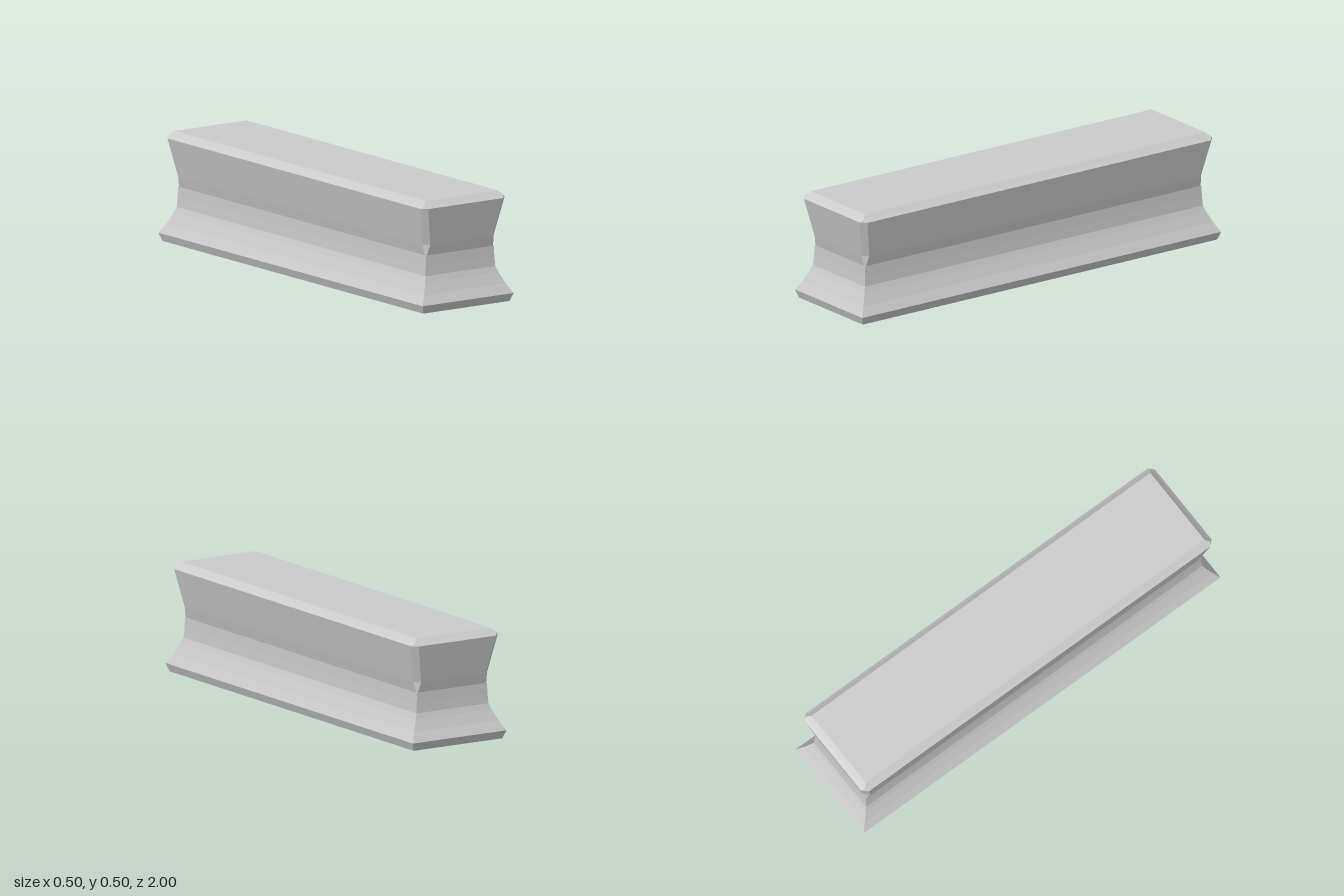
import * as THREE from 'three';

// Half length exceeds half width by this much at every height
const EXTRA = 0.75;

// Profile rows: height, half width, corner chamfer
const PROFILE = [
  [0, 0.237, 0], [0.037, 0.25, 0],                      // foot
  [0.08, 0.225, 0], [0.13, 0.202, 0], [0.157, 0.192, 0], // flared base
  [0.2, 0.189, 0], [0.249, 0.187, 0],                   // waist
  [0.25, 0.187, 0.006], [0.297, 0.198, 0.026],          // chamfered upper body
  [0.471, 0.232, 0.025], [0.483, 0.218, 0], [0.502, 0.199, 0], // bevelled top
];

// Rectangular ring with chamfered corners, going from +x towards +z
function ring([y, w, c]) {
  const d = w + EXTRA;
  return [
    [w, -d + c], [w, d - c], [w - c, d], [-w + c, d],
    [-w, d - c], [-w, -d + c], [-w + c, -d], [w - c, -d],
  ].map(([x, z]) => new THREE.Vector3(x, y, z));
}

function loft(rings) {
  const pos = [];
  const tri = (a, b, c) => {
    // skip collapsed corner facets
    if (a.equals(b) || b.equals(c) || c.equals(a)) return;
    for (const p of [a, b, c]) pos.push(p.x, p.y, p.z);
  };
  const top = rings.length - 1;
  const n = rings[0].length;
  const bottomCentre = new THREE.Vector3(0, rings[0][0].y, 0);
  const topCentre = new THREE.Vector3(0, rings[top][0].y, 0);
  for (let j = 0; j < n; j++) {
    const k = (j + 1) % n;
    for (let i = 0; i < top; i++) {
      const lo = rings[i], hi = rings[i + 1];
      tri(lo[j], hi[j], lo[k]);
      tri(hi[j], hi[k], lo[k]);
    }
    tri(bottomCentre, rings[0][j], rings[0][k]);
    tri(topCentre, rings[top][k], rings[top][j]);
  }
  const geometry = new THREE.BufferGeometry();
  geometry.setAttribute('position', new THREE.Float32BufferAttribute(pos, 3));
  geometry.computeVertexNormals();
  return geometry;
}

export function createModel() {
  const group = new THREE.Group();
  group.name = 'stoneBlock';
  const material = new THREE.MeshStandardMaterial({ color: 0xcccccc, flatShading: true });
  const block = new THREE.Mesh(loft(PROFILE.map(ring)), material);
  block.name = 'mouldedBlock';
  group.add(block);
  return group;
}
